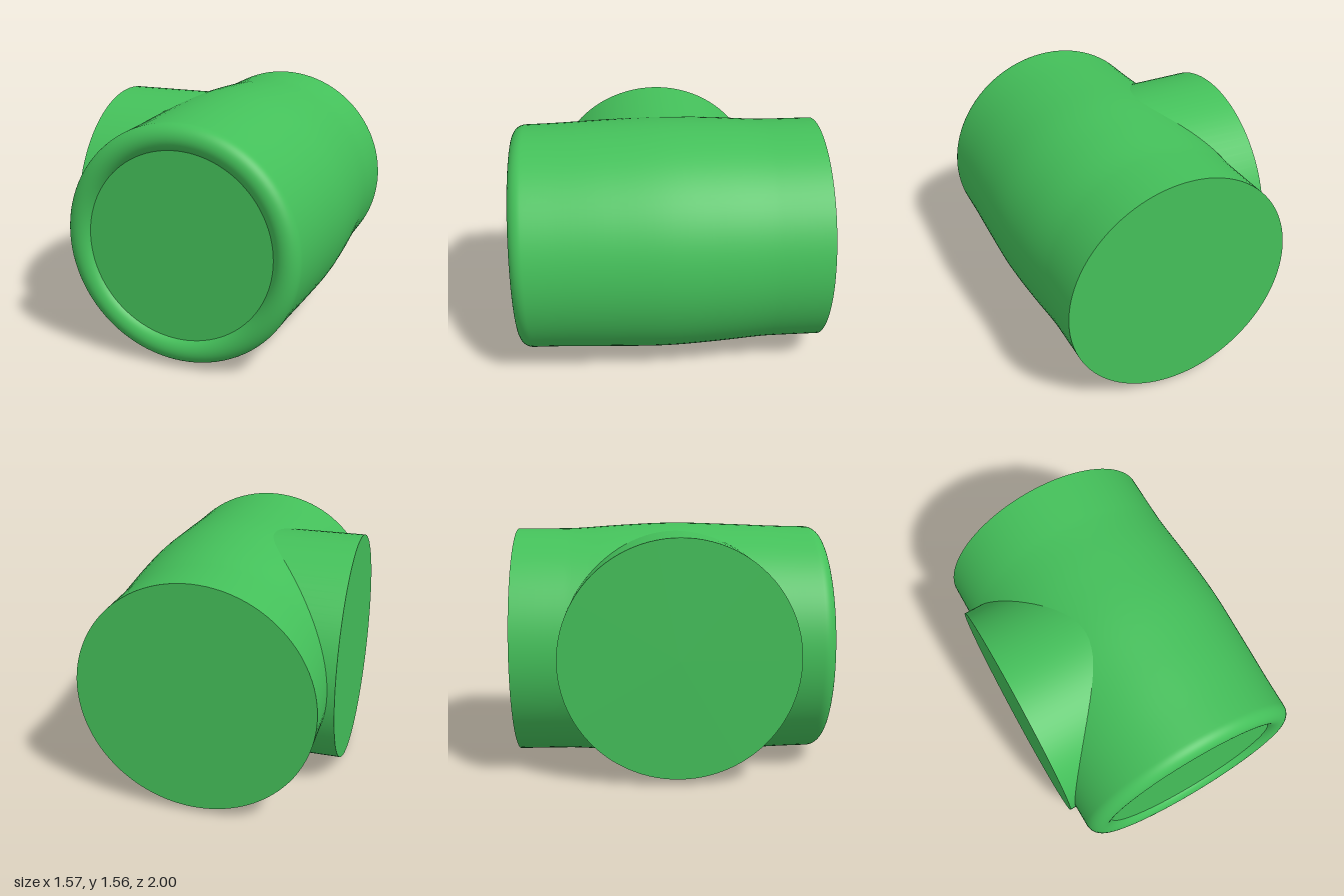
import * as THREE from 'three';

const SEGMENTS = 96;
const CENTRE_Y = 0.78;
const PIPE_RADIUS = 0.742;

export function createModel() {
  const group = new THREE.Group();
  group.name = 'pipeTee';
  const material = new THREE.MeshStandardMaterial({ color: 0x44c05a });

  const add = (name, geometry, x, y, z) => {
    const mesh = new THREE.Mesh(geometry, material);
    mesh.name = name;
    mesh.position.set(x, y, z);
    group.add(mesh);
    return mesh;
  };

  // Main pipe: gently bulged wall, as (radius, position along z)
  const wall = new THREE.SplineCurve([
    [0.742, -1], [0.742, -0.72], [0.746, -0.58], [0.765, -0.3],
    [0.778, 0.03], [0.768, 0.38], [0.755, 0.7], [0.75, 0.915],
  ].map(([r, z]) => new THREE.Vector2(r, z)));
  const profile = wall.getPoints(48);

  // Rounded front lip, curling inwards to the recessed face
  const lipRadius = 0.085, lipCentre = 0.665, lipZ = 0.915, faceZ = 0.96;
  const lipEnd = Math.PI - Math.asin((faceZ - lipZ) / lipRadius);
  for (let i = 1; i <= 20; i++) {
    const a = (lipEnd * i) / 20;
    profile.push(new THREE.Vector2(
      lipCentre + lipRadius * Math.cos(a), lipZ + lipRadius * Math.sin(a)));
  }
  const body = new THREE.LatheGeometry(profile, SEGMENTS).rotateX(Math.PI / 2);
  add('mainPipe', body, 0.004, CENTRE_Y, 0);

  // Flat ends of the main pipe
  const faceRadius = profile[profile.length - 1].x;
  add('frontFace', new THREE.CircleGeometry(faceRadius, SEGMENTS), 0.004, CENTRE_Y, faceZ);
  add('backFace', new THREE.CircleGeometry(PIPE_RADIUS, SEGMENTS).rotateY(Math.PI),
    0.004, CENTRE_Y, -1);

  // Side branch, running into the main pipe, and its flat end
  const outerX = -0.785, innerX = -0.15, branchZ = 0.03;
  const branch = new THREE.CylinderGeometry(
    PIPE_RADIUS, PIPE_RADIUS, innerX - outerX, SEGMENTS, 1, true).rotateZ(Math.PI / 2);
  add('sideBranch', branch, (outerX + innerX) / 2, CENTRE_Y, branchZ);
  add('branchFace', new THREE.CircleGeometry(PIPE_RADIUS, SEGMENTS).rotateY(-Math.PI / 2),
    outerX, CENTRE_Y, branchZ);

  return group;
}
